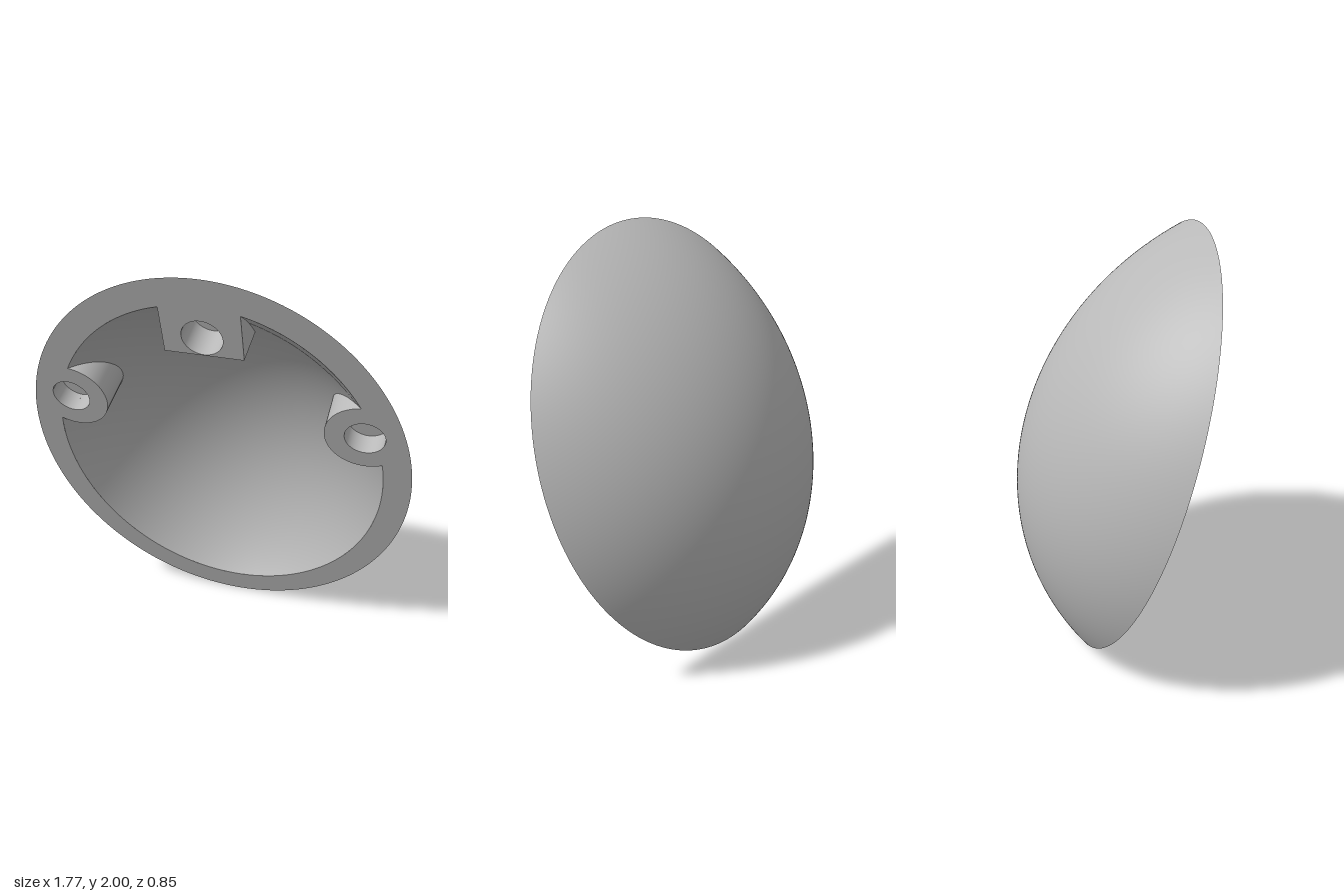
import * as THREE from 'three';

// The shell is modelled with its rim in the local plane z = 0, then tilted back.
const OUTER = { a: 0.885, b: 1.044, h: 0.503 };
const INNER = { a: 0.76, b: 0.91, h: 0.4 };
const SHEAR = -0.1; // the bulge leans slightly towards the lower end
const BOSS_R = 0.175, HOLE_R = 0.088;
const BOSS_X = 0.67, BOSS_Y = 0.3;
const BLOCK_W = 0.17, BLOCK_Y = 0.658;

const HOLES = [
  { x: BOSS_X, y: BOSS_Y, depth: 0.1 },
  { x: -BOSS_X, y: BOSS_Y, depth: 0.1 },
  { x: 0, y: 0.75, depth: 0.15 },
];

// Depth of a spherical cap at relative radius rho (1 at the rim)
function capDepth(d, rho) {
  const R = (d.b * d.b + d.h * d.h) / (2 * d.h);
  return Math.sqrt(R * R - (d.b * rho) ** 2) - (R - d.h);
}

// Depth of the inner surface behind a point of the rim plane
function innerDepth(x, y) {
  let w = 0;
  for (let i = 0; i < 8; i++) {
    const rho = Math.min(1, Math.hypot(x / INNER.a, (y - SHEAR * w) / INNER.b));
    w = capDepth(INNER, rho);
  }
  return w;
}

function indexed(pos, idx) {
  const g = new THREE.BufferGeometry();
  g.setAttribute('position', new THREE.Float32BufferAttribute(pos, 3));
  g.setIndex(idx);
  g.computeVertexNormals();
  return g;
}

// Elliptical bowl made of rings; skip() leaves out triangles by their centre
function dome(d, inward, skip = () => false) {
  const n = 160, m = 64, pos = [], idx = [];
  for (let j = 0; j <= m; j++) {
    const rho = j / m, w = capDepth(d, rho);
    for (let i = 0; i < n; i++) {
      const t = (i / n) * Math.PI * 2;
      pos.push(d.a * rho * Math.cos(t), d.b * rho * Math.sin(t) + SHEAR * w, -w);
    }
  }
  const tri = (p, q, r) => {
    const c = (k) => (pos[p * 3 + k] + pos[q * 3 + k] + pos[r * 3 + k]) / 3;
    if (skip(c(0), c(1))) return;
    if (inward) idx.push(p, q, r);
    else idx.push(p, r, q);
  };
  for (let j = 0; j < m; j++) {
    for (let i = 0; i < n; i++) {
      const k = (i + 1) % n;
      const a = j * n + i, b = (j + 1) * n + i, c = (j + 1) * n + k, e = j * n + k;
      if (j > 0) tri(a, b, e);
      tri(b, c, e);
    }
  }
  return indexed(pos, idx);
}

// Wall running back from an outline to the inner surface
function wall(points) {
  const pos = [], idx = [];
  points.forEach((p, i) => {
    pos.push(p.x, p.y, 0, p.x, p.y, -innerDepth(p.x, p.y) - 0.01);
    if (i) idx.push(2 * i - 2, 2 * i, 2 * i - 1, 2 * i, 2 * i + 1, 2 * i - 1);
  });
  return indexed(pos, idx);
}

const ellipse = (d, n) => Array.from({ length: n }, (_, i) => {
  const t = (i / n) * Math.PI * 2 - Math.PI / 2;
  return new THREE.Vector2(d.a * Math.cos(t), d.b * Math.sin(t));
});

const inOpening = (p) => Math.hypot(p.x / INNER.a, p.y / INNER.b) < 1;

// Clockwise boss outline, kept where it stands inside the opening
function bossOutline(side) {
  const pts = [];
  for (let i = 0; i <= 96; i++) {
    const t = (side > 0 ? 0 : Math.PI) - (i / 96) * Math.PI * 2;
    const p = new THREE.Vector2(side * BOSS_X + BOSS_R * Math.cos(t), BOSS_Y + BOSS_R * Math.sin(t));
    if (inOpening(p)) pts.push(p);
  }
  return pts;
}

function blockOutline() {
  const top = INNER.b * Math.sqrt(1 - (BLOCK_W / INNER.a) ** 2);
  return [[1, top], [1, BLOCK_Y], [-1, BLOCK_Y], [-1, top]]
    .map(([s, y]) => new THREE.Vector2(s * BLOCK_W, y));
}

export function createModel() {
  const grey = new THREE.MeshStandardMaterial({ color: 0xb8b8b8, side: THREE.DoubleSide });
  grey.name = 'grey';
  const model = new THREE.Group();
  model.name = 'shell';
  const add = (name, geometry) => {
    const mesh = new THREE.Mesh(geometry, grey);
    mesh.name = name;
    model.add(mesh);
    return mesh;
  };

  const features = [
    { name: 'leftBoss', outline: bossOutline(1),
      has: (x, y) => Math.hypot(x - BOSS_X, y - BOSS_Y) < BOSS_R },
    { name: 'topBlock', outline: blockOutline(),
      has: (x, y) => Math.abs(x) < BLOCK_W && y > BLOCK_Y },
    { name: 'rightBoss', outline: bossOutline(-1),
      has: (x, y) => Math.hypot(x + BOSS_X, y - BOSS_Y) < BOSS_R },
  ];

  // Outer and inner bowls; the inner one is open where the peg holes pass
  add('outerShell', dome(OUTER, false));
  add('innerShell', dome(INNER, true, (x, y) =>
    HOLES.some((h) => Math.hypot(x - h.x, y - h.y) < HOLE_R + 0.012) &&
    features.some((f) => f.has(x, y))));

  // Opening outline: the inner ellipse with bosses and block let into it
  const opening = [], used = new Set();
  for (const p of ellipse(INNER, 240)) {
    const f = features.find((q) => q.has(p.x, p.y));
    if (!f) opening.push(p);
    else if (!used.has(f)) {
      used.add(f);
      opening.push(...f.outline);
    }
  }

  // Flat rim face, including the ends of the bosses and the block
  const rim = new THREE.Shape(ellipse(OUTER, 160));
  rim.holes.push(new THREE.Path(opening));
  for (const h of HOLES) {
    rim.holes.push(new THREE.Path().absarc(h.x, h.y, HOLE_R, 0, Math.PI * 2, true));
  }
  add('rimFace', new THREE.ShapeGeometry(rim, 24));

  // Boss and block walls
  for (const f of features) {
    let g = wall(f.outline);
    if (f.name === 'topBlock') {
      g = g.toNonIndexed();
      g.computeVertexNormals();
    }
    add(f.name, g);
  }

  // Blind peg holes
  for (const h of HOLES) {
    const profile = [[HOLE_R, 0], [HOLE_R, -h.depth], [HOLE_R, -h.depth], [0, -h.depth]]
      .map(([x, y]) => new THREE.Vector2(x, y));
    const g = new THREE.LatheGeometry(profile, 48).rotateX(Math.PI / 2);
    add('pegHole', g).position.set(h.x, h.y, 0);
  }

  model.rotation.x = Math.atan(0.3);
  model.position.set(0, 1, 0.125);
  const root = new THREE.Group();
  root.name = 'model';
  root.add(model);
  return root;
}
